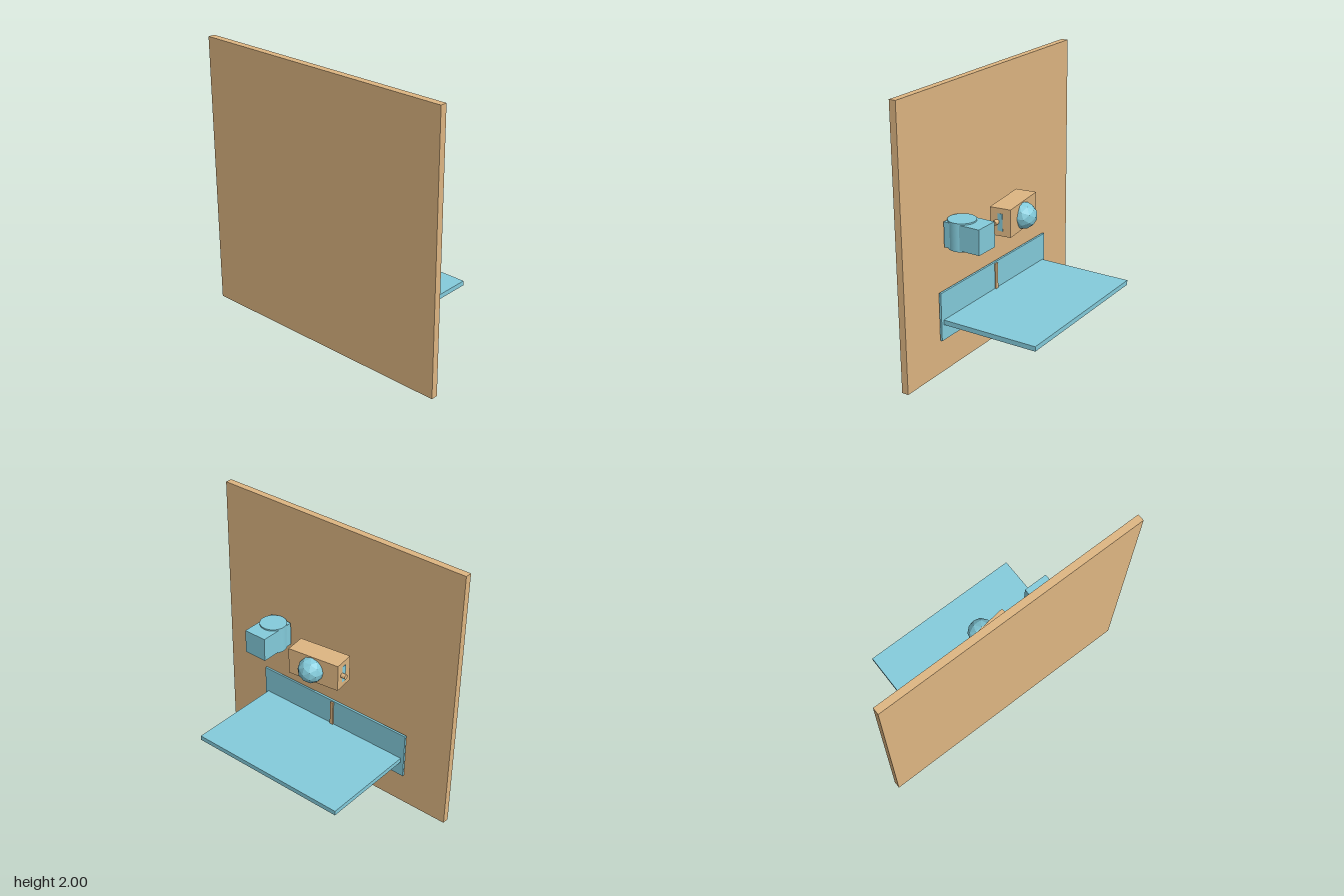
import * as THREE from 'three';

const wood = new THREE.MeshStandardMaterial({ color: 0xdeb682, flatShading: true });
const blue = new THREE.MeshStandardMaterial({ color: 0x84ccdc, flatShading: true });
const blueSmooth = new THREE.MeshStandardMaterial({ color: 0x84ccdc });

export function createModel() {
  const model = new THREE.Group();

  function add(parent, name, geometry, material, x, y, z) {
    const mesh = new THREE.Mesh(geometry, material);
    mesh.name = name;
    mesh.position.set(x, y, z);
    parent.add(mesh);
    return mesh;
  }
  const box = (w, h, d) => new THREE.BoxGeometry(w, h, d);

  // Upright wall panel
  add(model, 'wallPanel', box(2, 2, 0.05), wood, 0, 1, 0.375);

  // Shelf with its backing plate and centre strip
  const shelf = new THREE.Group();
  shelf.name = 'shelf';
  model.add(shelf);
  add(shelf, 'shelfBoard', box(1.24, 0.035, 0.75), blue, 0, 0.38, -0.025);
  add(shelf, 'backPlate', box(1.29, 0.35, 0.016), blue, 0, 0.425, 0.334);
  add(shelf, 'centreStrip', box(0.026, 0.325, 0.012), wood, 0, 0.427, 0.321);

  // Turned block with a faceted ball, side plates and axle
  const unit = new THREE.Group();
  unit.name = 'blockUnit';
  unit.position.set(0, 1, 0.172);
  model.add(unit);
  add(unit, 'block', box(0.4, 0.2, 0.155), wood, 0, 0, 0).rotation.y = 0.125;
  add(unit, 'ball', new THREE.IcosahedronGeometry(0.095, 1), blue, 0, 0, -0.084);
  add(unit, 'sidePlate', box(0.402, 0.125, 0.085), blue, 0, 0, 0);
  add(unit, 'axle', new THREE.CylinderGeometry(0.0175, 0.0175, 0.475, 12), wood, 0, 0, 0)
    .rotation.z = Math.PI / 2;

  // Box housing with an upright cylinder
  const housing = new THREE.Group();
  housing.name = 'housing';
  housing.position.set(0.49, 1, 0);
  model.add(housing);
  add(housing, 'housingBox', box(0.18, 0.18, 0.28), blue, 0, 0, 0.195);
  add(housing, 'housingCylinder', new THREE.CylinderGeometry(0.098, 0.098, 0.2, 32), blueSmooth, 0, 0, 0.25);

  return model;
}
